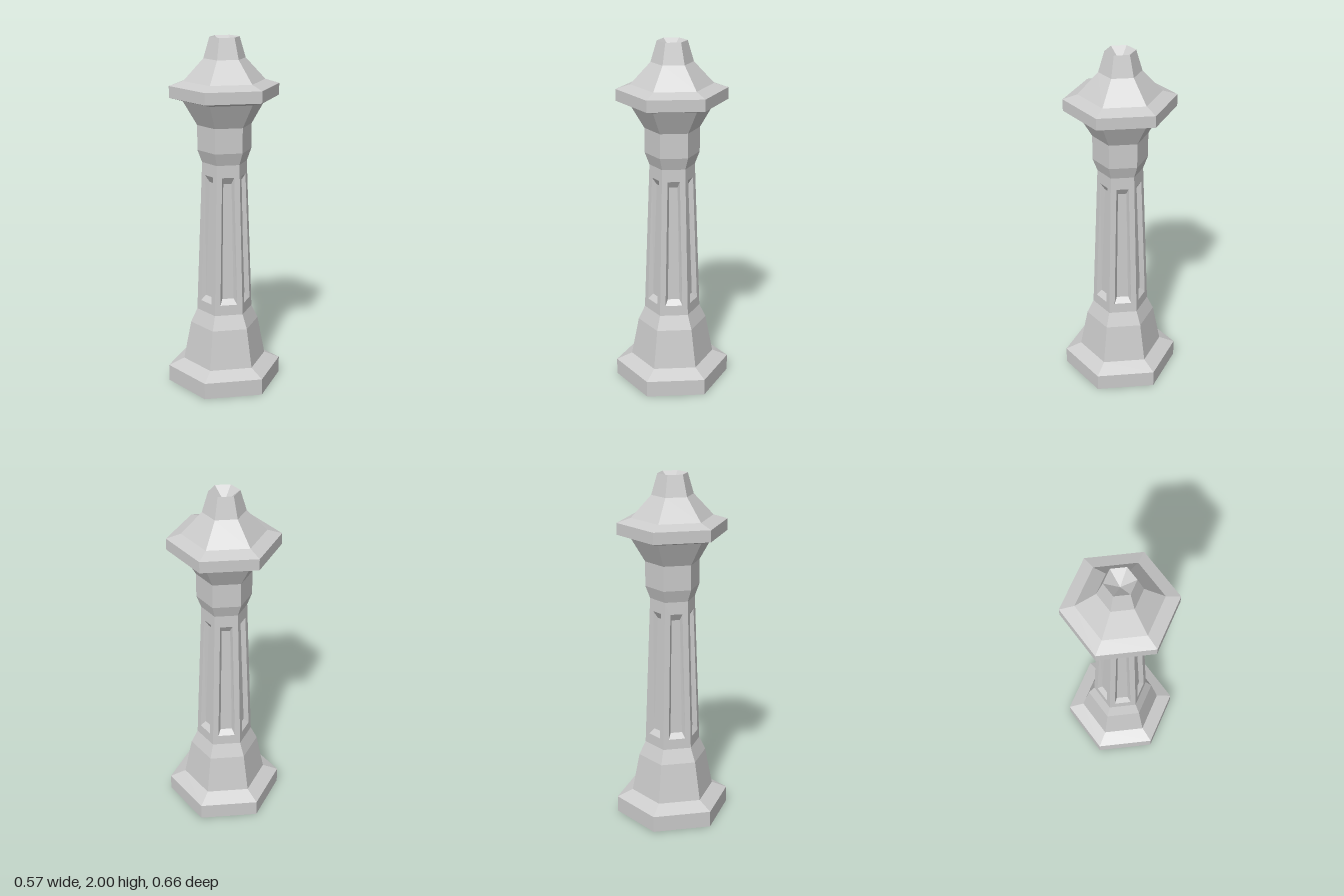
import * as THREE from 'three';

const material = new THREE.MeshStandardMaterial({ color: 0xcccccc, flatShading: true });
const SIDES = 6;
const SHAFT = { y0: 0.44, y1: 1.31, r0: 0.16, r1: 0.127 };

// Six-sided turned section from [corner radius, height] pairs, bottom to top
function hexSection(name, profile) {
  const points = profile.map(([r, y]) => new THREE.Vector2(r, y));
  const geometry = new THREE.LatheGeometry(points, SIDES).toNonIndexed();
  geometry.computeVertexNormals();
  const mesh = new THREE.Mesh(geometry, material);
  mesh.name = name;
  return mesh;
}

// One shaft side facing +z: nested four-corner rings for face, opening and sunken floor
function shaftSide() {
  const radiusAt = (y) =>
    THREE.MathUtils.mapLinear(y, SHAFT.y0, SHAFT.y1, SHAFT.r0, SHAFT.r1);
  const ring = (yLow, yHigh, halfLow, halfHigh, depth) =>
    [[-halfLow, yLow], [halfLow, yLow], [halfHigh, yHigh], [-halfHigh, yHigh]].map(([x, y]) => [
      x, y, radiusAt(y) * Math.cos(Math.PI / SIDES) - depth,
    ]);
  const rings = [
    ring(SHAFT.y0, SHAFT.y1, SHAFT.r0 / 2, SHAFT.r1 / 2, 0),
    ring(0.5, 1.24, 0.048, 0.034, 0),
    ring(0.53, 1.2, 0.033, 0.023, 0.025),
  ];
  const positions = [];
  const quad = (a, b, c, d) => positions.push(...a, ...b, ...c, ...a, ...c, ...d);
  for (let i = 0; i < rings.length - 1; i++) {
    for (let k = 0; k < 4; k++) {
      const n = (k + 1) % 4;
      quad(rings[i][k], rings[i][n], rings[i + 1][n], rings[i + 1][k]);
    }
  }
  quad(...rings[rings.length - 1]);
  const geometry = new THREE.BufferGeometry();
  geometry.setAttribute('position', new THREE.Float32BufferAttribute(positions, 3));
  geometry.computeVertexNormals();
  return geometry;
}

export function createModel() {
  const model = new THREE.Group();
  model.name = 'hexagonalPillar';

  // Plinth and tapered foot
  model.add(hexSection('base', [
    [0, 0], [0.33, 0], [0.33, 0.095], [0.24, 0.135], [0.197, 0.36], [SHAFT.r0, SHAFT.y0],
  ]));

  // Tapered shaft with a recessed panel on each side
  const shaft = new THREE.Group();
  shaft.name = 'shaft';
  const side = shaftSide();
  for (let i = 0; i < SIDES; i++) {
    const panel = new THREE.Mesh(side, material);
    panel.name = `shaftSide${i + 1}`;
    panel.rotation.y = ((i + 0.5) * 2 * Math.PI) / SIDES;
    shaft.add(panel);
  }
  model.add(shaft);

  // Collar flaring out to the underside of the cap
  model.add(hexSection('collar', [
    [SHAFT.r1, SHAFT.y1], [0.153, 1.38], [0.153, 1.52], [0.232, 1.655],
  ]));

  // Overhanging cap, stepped roof and hollowed tip
  model.add(hexSection('cap', [
    [0.232, 1.655], [0.307, 1.675], [0.307, 1.74], [0.228, 1.765],
    [0.117, 1.885], [0.083, 2], [0, 1.935],
  ]));

  return model;
}
